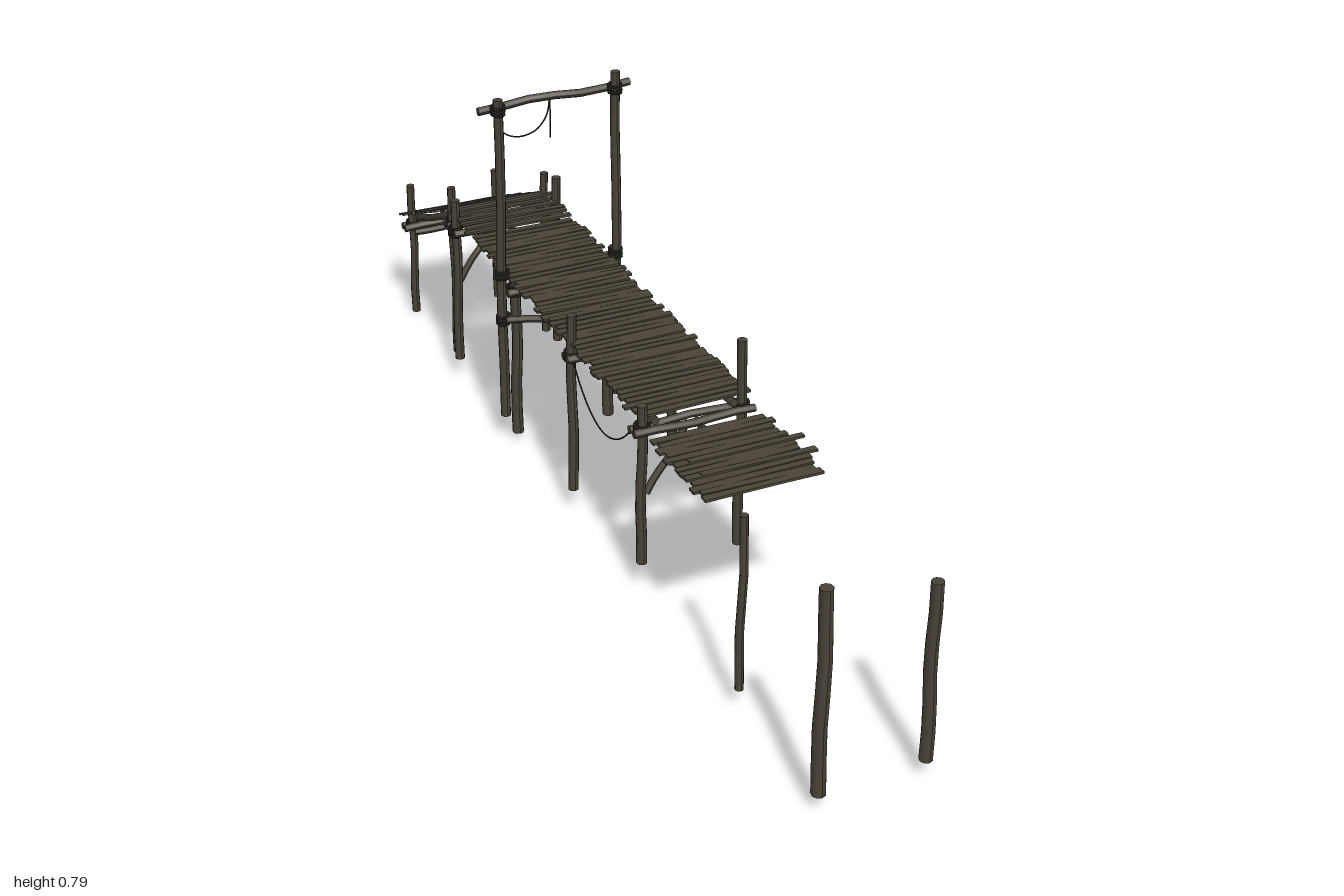
import * as THREE from 'three';

export function createModel() {
  const model = new THREE.Group();
  model.name = 'ruinedPier';
  const mat = (name, color) => Object.assign(new THREE.MeshStandardMaterial({ color }), { name });
  const wood = mat('weatheredWood', 0x4a4338);
  const plankWood = mat('deckWood', 0x4b4538);
  const ropeMat = mat('darkRope', 0x2e2a23);

  let seed = 11;
  const rnd = () => (seed = (seed * 16807) % 2147483647) / 2147483647;
  const jit = (a) => (rnd() - 0.5) * 2 * a;
  const V = (x, y, z) => new THREE.Vector3(x, y, z);

  function add(name, geo, material) {
    const mesh = new THREE.Mesh(geo, material);
    mesh.name = name;
    model.add(mesh);
    return mesh;
  }

  // Slightly crooked tapered log between two points
  function log(name, a, b, r, taper = 0.92, bend = 0.0025) {
    const len = a.distanceTo(b);
    const geo = new THREE.CylinderGeometry(r * taper, r, len, 9, 6);
    const p = geo.attributes.position;
    const phase = rnd() * 6;
    for (let i = 0; i < p.count; i++) {
      const t = p.getY(i) / len + 0.5;
      const w = Math.sin(t * Math.PI) * bend;
      p.setX(i, p.getX(i) + w * Math.sin(t * 7 + phase));
      p.setZ(i, p.getZ(i) + w * Math.cos(t * 6 + phase));
    }
    geo.computeVertexNormals();
    const mesh = add(name, geo, wood);
    mesh.position.copy(a).lerp(b, 0.5);
    mesh.quaternion.setFromUnitVectors(V(0, 1, 0), b.clone().sub(a).normalize());
    return mesh;
  }
  const post = (name, x, z, y0, y1, r) => log(name, V(x, y0, z), V(x + jit(0.002), y1, z), r);

  // Rope wraps around a post
  function lashing(x, y, z, r, turns = 4) {
    for (let i = 0; i < turns; i++) {
      const ring = add('lashing', new THREE.TorusGeometry(r, 0.0022, 5, 12), ropeMat);
      ring.position.set(x, y + (i - (turns - 1) / 2) * 0.0042, z);
      ring.rotation.set(Math.PI / 2 + jit(0.12), jit(0.12), 0);
    }
  }
  function rope(name, points, r = 0.0016) {
    add(name, new THREE.TubeGeometry(new THREE.CatmullRomCurve3(points), 32, r, 5), ropeMat);
  }

  // Free-standing posts: x, z, bottom, top, radius
  [[-0.104, 0.985, 0.03, 0.44, 0.0135], [0.101, 0.985, 0.035, 0.395, 0.0125],
    [-0.1, 0.685, 0.04, 0.4, 0.0085]].forEach((p) => post('strandedPost', ...p));

  // Posts of the standing bents: z, left bottom/top, right bottom/top, half spacing, radius
  [[0.278, 0.05, 0.492, 0.06, 0.4, 0.101, 0.0105],
    [-0.032, 0.055, 0.38, 0.05, 0.44, 0.108, 0.0105],
    [-0.338, 0.012, 0.37, 0.018, 0.37, 0.103, 0.012],
    [-0.643, 0.04, 0.435, 0.045, 0.425, 0.116, 0.0105],
    [-0.685, 0.045, 0.43, 0.04, 0.435, 0.106, 0.0095],
    [-0.968, 0, 0.322, 0.005, 0.322, 0.101, 0.0095],
  ].forEach(([z, l0, l1, r0, r1, x, r]) => {
    post('leftPost', x, z, l0, l1, r);
    post('rightPost', -x, z, r0, r1, r);
    const y = z < -0.9 ? 0.225 : 0.353;
    // Paired cross beams clasping the posts
    log('crossBeam', V(-0.125, y, z + 0.016), V(0.122, y + jit(0.003), z + 0.016), 0.0085);
    if (z !== -0.643) log('crossBeam', V(-0.12, y - 0.008, z - 0.016), V(0.125, y - 0.006, z - 0.016), 0.008);
    for (const s of [-1, 1]) lashing(s * x, y, z, r + 0.004, 5);
  });

  // Braces spreading from the cross beam to the posts
  for (const z of [0.278, -0.685]) {
    for (const s of [-1, 1]) {
      log('diagonalBrace', V(s * 0.092, 0.212, z), V(s * 0.008, 0.345, z), 0.0075);
    }
  }
  log('slantedTie', V(-0.128, 0.29, -0.33), V(0.128, 0.25, -0.33), 0.008);
  log('lowTie', V(-0.1, 0.208, -0.96), V(0.1, 0.208, -0.96), 0.008);

  // Stringers below the deck and the ramp
  for (const s of [-1, 1]) {
    for (const [a, b] of [[0.29, -0.04], [-0.02, -0.35], [-0.33, -0.7]]) {
      log('stringer', V(s * 0.08, 0.369, a), V(s * 0.08, 0.369, b), 0.0085);
    }
    log('rampStringer', V(s * 0.084, 0.367, -0.675), V(s * 0.084, 0.232, -0.985), 0.0085);
  }

  // Uneven boards laid across x
  function plank(x0, x1, y, z, width, pitch = 0) {
    const geo = new THREE.BoxGeometry(x1 - x0, 0.005, width, 3, 1, 1);
    const p = geo.attributes.position;
    const ph = rnd() * 6;
    for (let i = 0; i < p.count; i++) {
      p.setZ(i, p.getZ(i) * (0.95 + 0.12 * Math.sin(p.getX(i) * 20 + ph)));
    }
    geo.computeVertexNormals();
    const mesh = add('plank', geo, plankWood);
    mesh.position.set((x0 + x1) / 2, y, z);
    mesh.rotation.set(pitch, jit(0.02), jit(0.012));
  }
  function deck(z0, z1, count, heightAt, x0, x1, pitch, fill = 0.93) {
    const step = (z1 - z0) / count;
    for (let i = 0; i < count; i++) {
      const z = z0 + step * (i + 0.5);
      plank(x0 + jit(0.008), x1 + jit(0.008), heightAt(z) + jit(0.001), z, Math.abs(step) * (fill + jit(0.07)), pitch);
    }
  }
  const flat = () => 0.381;
  const drop = 0.142 / 0.31;
  deck(0.285, -0.545, 47, flat, -0.115, 0.113, 0);
  deck(-0.555, -0.69, 6, flat, -0.12, 0.118, 0, 0.55);
  deck(-0.69, -0.998, 17, (z) => 0.381 + (z + 0.69) * drop, -0.118, 0.108, -Math.atan(drop), 1.0);
  // Detached piece of deck
  deck(0.372, 0.598, 13, () => 0.384, -0.129, 0.102, 0, 0.95);
  for (const z of [0.472, 0.522]) plank(-0.1, 0.127, 0.387, z, 0.014);

  // Tall gallows frame
  const gz = -0.342;
  post('tallPostLeft', 0.123, gz, 0.058, 0.788, 0.0105);
  post('tallPostRight', -0.128, gz, 0.062, 0.77, 0.0105);
  log('topBar', V(-0.163, 0.744, gz - 0.017), V(0.162, 0.754, gz - 0.017), 0.0085, 0.95, 0.005);
  for (const [x, y] of [[0.123, 0.752], [-0.128, 0.748], [0.123, 0.39], [-0.128, 0.39], [0.123, 0.305], [-0.128, 0.288]]) {
    lashing(x, y, gz, 0.0135, 5);
  }

  // Hanging ropes
  const rz = gz - 0.022;
  rope('hangingRope', [V(-0.12, 0.75, rz), V(-0.118, 0.702, rz), V(-0.1, 0.682, rz), V(-0.07, 0.674, rz),
    V(-0.038, 0.683, rz), V(-0.016, 0.71, rz), V(-0.008, 0.752, rz)]);
  rope('ropeEnd', [V(-0.008, 0.755, rz - 0.002), V(-0.007, 0.71, rz - 0.003), V(-0.008, 0.66, rz - 0.002)]);
  const sag = [];
  for (let i = 0; i <= 8; i++) {
    const t = i / 8;
    sag.push(V(-0.112, 0.36 - 0.095 * (1 - (2 * t - 1) ** 2), 0.272 - 0.298 * t));
  }
  rope('sideRope', sag);

  return model;
}
